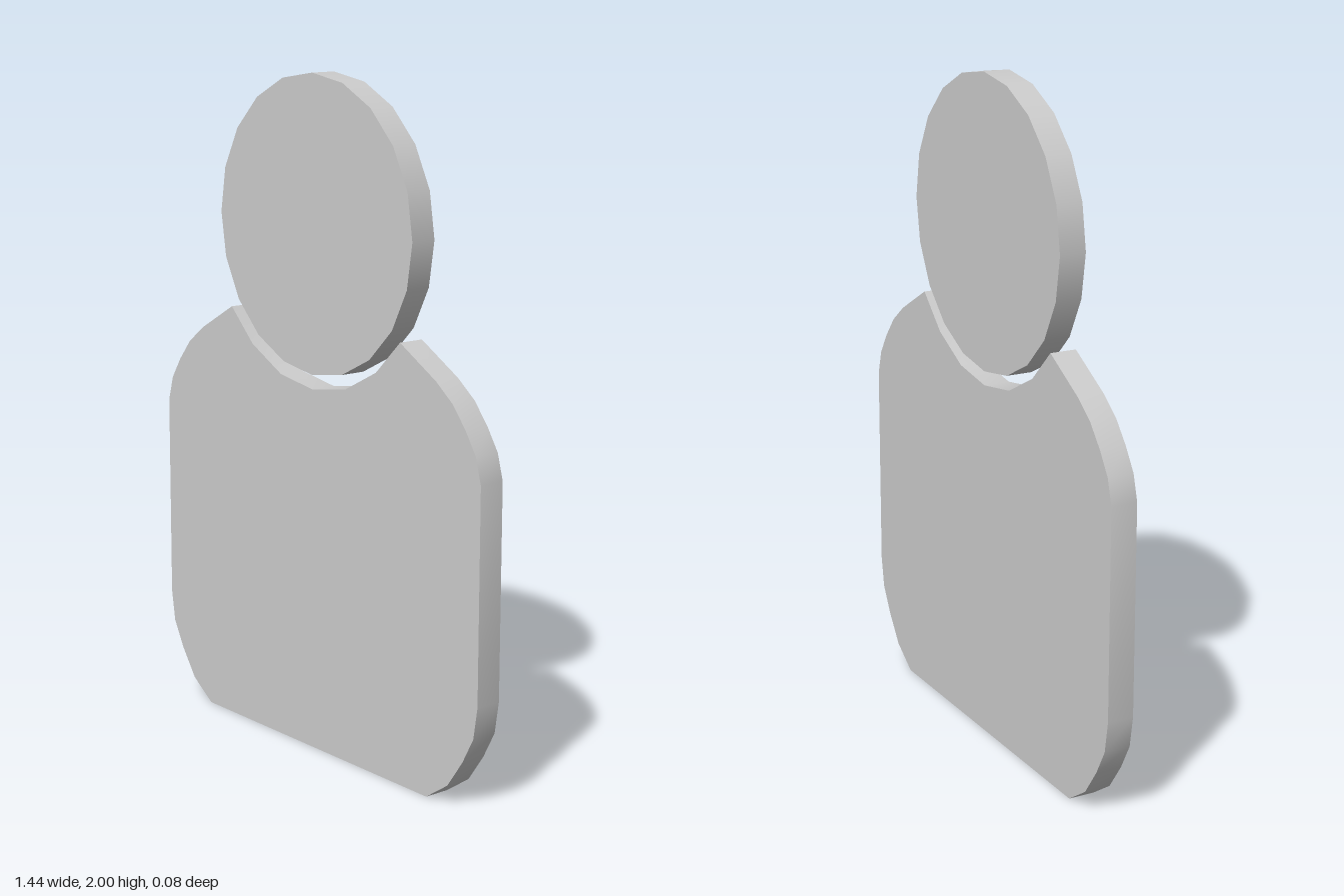
import * as THREE from 'three';
import { toCreasedNormals } from 'three/addons/utils/BufferGeometryUtils.js';

const THICKNESS = 0.08;

export function createModel() {
  const group = new THREE.Group();
  const material = new THREE.MeshStandardMaterial({ color: 0xcccccc });

  // Head: a 20-sided disc facing front
  const headGeometry = new THREE.CylinderGeometry(0.433, 0.433, THICKNESS, 20);
  headGeometry.rotateX(Math.PI / 2);
  const head = new THREE.Mesh(headGeometry, material);
  head.name = 'head';
  head.position.y = 1.567;
  group.add(head);

  // Torso: half outline from the bottom up to the neck notch, then mirrored
  const half = [
    [0.512, 0], [0.6, 0.06], [0.66, 0.145], [0.703, 0.225], [0.718, 0.32],
    [0.718, 0.945], [0.697, 1.02], [0.655, 1.085], [0.603, 1.148], [0.535, 1.2],
    [0.385, 1.285], [0.283, 1.185], [0.148, 1.115],
  ];
  const mirrored = half.map(([x, y]) => [-x, y]).reverse();
  const outline = [...half, [0, 1.092], ...mirrored].map(([x, y]) => new THREE.Vector2(x, y));
  const torsoGeometry = new THREE.ExtrudeGeometry(new THREE.Shape(outline), {
    depth: THICKNESS, bevelEnabled: false,
  });
  torsoGeometry.translate(0, 0, -THICKNESS / 2);
  const torso = new THREE.Mesh(toCreasedNormals(torsoGeometry, 0.5), material);
  torso.name = 'torso';
  group.add(torso);

  return group;
}
